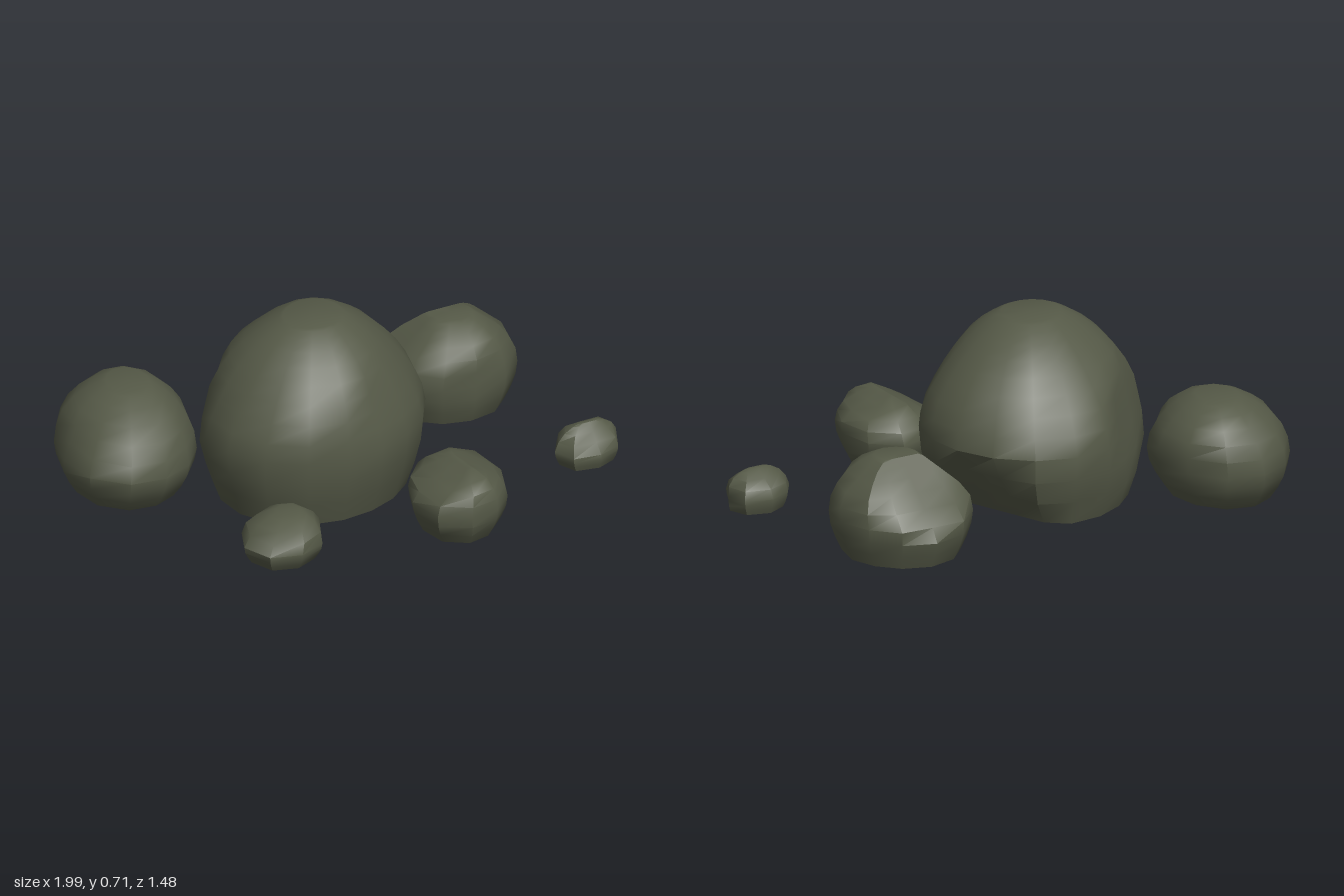
import * as THREE from 'three';
import { toCreasedNormals } from 'three/addons/utils/BufferGeometryUtils.js';

// Push a point that lies beyond a flat facet back onto it, keeping its height
function shear(p, [nx, ny, nz, distance]) {
  const over = nx * p.x + ny * p.y + nz * p.z - distance;
  if (over <= 0) return;
  const k = over / (nx * nx + nz * nz);
  p.x -= nx * k;
  p.z -= nz * k;
}

// A boulder of level rings: a foot that widens to the belly, then a dome
// that leans towards the crown. skew stretches the outline along a diagonal.
function boulderGeometry({ centre, half, height, belly, foot, crown, skew, sides, power = 2, facets = [] }) {
  const low = 3;
  const high = Math.ceil(sides / 2);
  const positions = [];
  const index = [];

  const addPoint = (x, y, z) => {
    const p = new THREE.Vector3(x, y, z);
    facets.forEach((facet) => shear(p, facet));
    positions.push(p.x, p.y, p.z);
  };

  for (let r = 0; r <= low + high; r++) {
    const v = Math.min(r / low, 1);
    const u = Math.sin((Math.max(r - low, 0) / high) * Math.PI / 2);
    const y = belly * v + (height - belly) * u;
    const scale = r < low
      ? foot + (1 - foot) * Math.sin(v * Math.PI / 2)
      : (1 - (0.94 * u) ** power) ** 0.55;
    const cx = centre[0] + (crown[0] - centre[0]) * u;
    const cz = centre[1] + (crown[1] - centre[1]) * u;
    for (let i = 0; i < sides; i++) {
      const a = (i / sides) * Math.PI * 2;
      const radius = scale * (1 + skew * Math.sin(2 * a) + 0.02 * Math.sin(3 * a + 5 * u));
      addPoint(cx + half[0] * radius * Math.cos(a), y, cz + half[1] * radius * Math.sin(a));
    }
  }

  // Centres of the flat foot and the crown
  const footCentre = positions.length / 3;
  addPoint(centre[0], 0, centre[1]);
  addPoint(crown[0], height, crown[1]);

  const top = (low + high) * sides;
  for (let i = 0; i < sides; i++) {
    const next = (i + 1) % sides;
    for (let r = 0; r < top; r += sides) {
      const a = r + i, b = r + next;
      index.push(a, a + sides, b, b, a + sides, b + sides);
    }
    index.push(footCentre, i, next);
    index.push(footCentre + 1, top + next, top + i);
  }

  const geometry = new THREE.BufferGeometry();
  geometry.setAttribute('position', new THREE.Float32BufferAttribute(positions, 3));
  geometry.setIndex(index);
  return toCreasedNormals(geometry, 0.75);
}

export function createModel() {
  const group = new THREE.Group();
  group.name = 'boulderCluster';
  const stone = new THREE.MeshStandardMaterial({ color: 0x555947 });
  stone.name = 'mossy grey stone';

  const addBoulder = (name, shape) => {
    const mesh = new THREE.Mesh(boulderGeometry(shape), stone);
    mesh.name = name;
    group.add(mesh);
  };

  // Large boulder: chipped front ledge, undercut back left, flattened back right
  addBoulder('mainBoulder', {
    centre: [-.11, -.08], half: [.453, .447], height: .71, belly: .29, foot: .85,
    crown: [-.115, -.045], skew: -.05, sides: 18, power: 1.5,
    facets: [[.33, .4, 1, .46], [.92, -.7, -.38, .19], [-.68, .2, -.73, .555]],
  });
  // Steep on its outer side
  addBoulder('backRightBoulder', {
    centre: [-.73, -.407], half: [.27, .33], height: .395, belly: .15, foot: .76,
    crown: [-.69, -.45], skew: -.06, sides: 12, facets: [[-.9, .43, 0, .955]],
  });
  // Flat towards the front, with sloping shoulders
  addBoulder('backLeftBoulder', {
    centre: [.647, -.375], half: [.268, .26], height: .38, belly: .16, foot: .82,
    crown: [.66, -.35], skew: .03, sides: 12,
    facets: [[0, 0, 1, -.135], [0, .69, -.72, .543], [-.68, .73, 0, -.115], [.6, .8, 0, .75]],
  });
  // Roof-like top
  addBoulder('frontRock', {
    centre: [.19, .515], half: [.193, .24], height: .265, belly: .13, foot: .76,
    crown: [.2, .53], skew: -.09, sides: 10,
    facets: [[0, 0, 1, .74], [-.465, .885, 0, .142], [.38, .925, 0, .321]],
  });
  addBoulder('frontRightRock', {
    centre: [-.52, .42], half: [.162, .165], height: .17, belly: .07, foot: .8,
    crown: [-.48, .4], skew: -.03, sides: 8,
  });
  // Broken off flat on its outer side, ridged on top
  addBoulder('smallLeftRock', {
    centre: [.875, .312], half: [.14, .115], height: .155, belly: .06, foot: .85,
    crown: [.88, .315], skew: -.08, sides: 8,
    facets: [[1, 0, 0, 1], [0, .72, .69, .333], [0, .88, -.48, -.01]],
  });
  return group;
}
